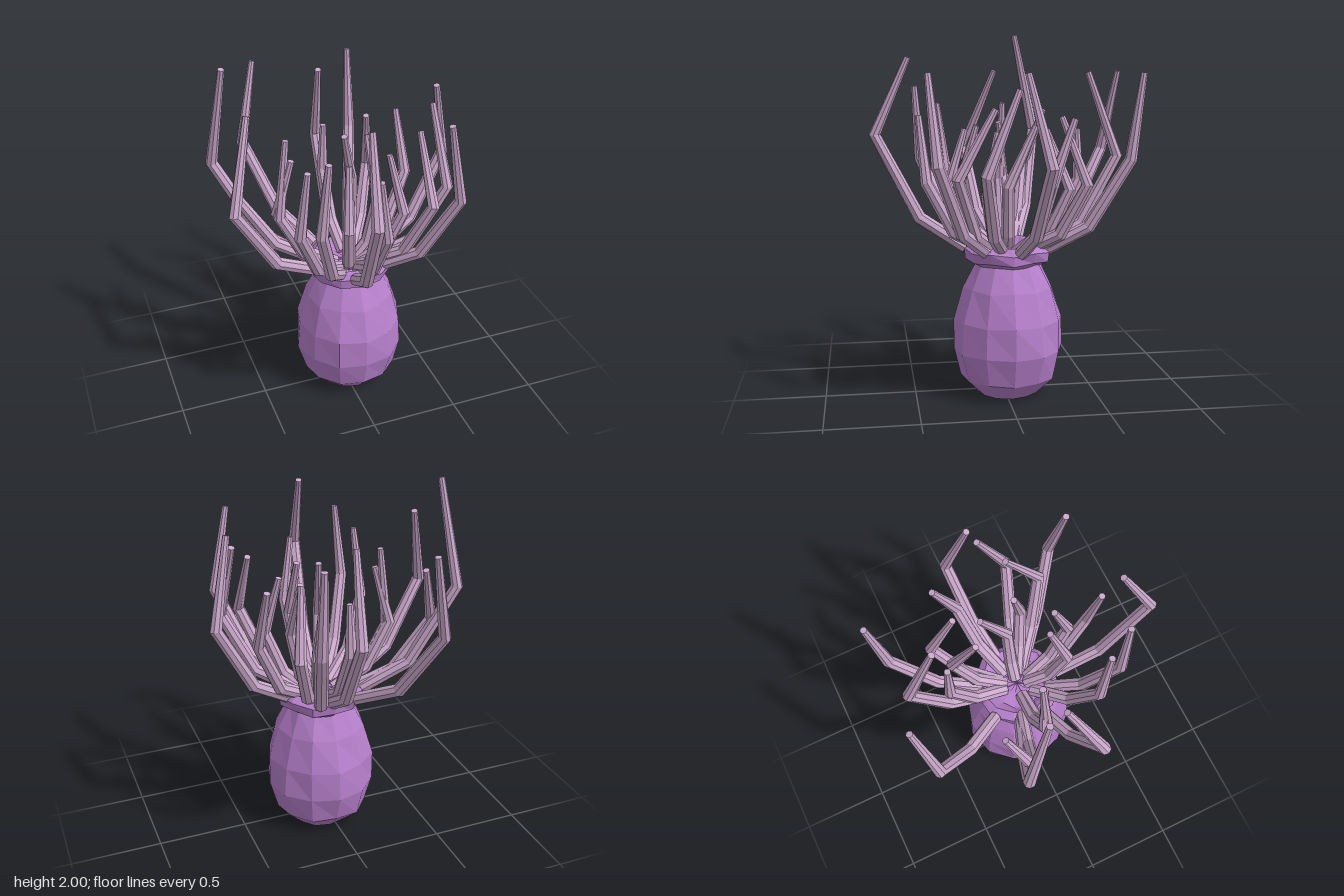
import * as THREE from 'three';

const bodyMat = new THREE.MeshStandardMaterial({ color: 0xb780cc, flatShading: true });
bodyMat.name = 'violet body';
const armMat = new THREE.MeshStandardMaterial({ color: 0xcaa8cb, flatShading: true });
armMat.name = 'pale lilac tentacle';

const CX = 0.035, CZ = -0.02; // axis of the stalk

// Tentacles: [elbow x, y, z, tip x, y, z]
const arms = [
  // back
  [-0.39, 1.33, -0.65, -0.29, 1.79, -0.72],
  [0.27, 1.33, -0.65, 0.28, 1.79, -0.71],
  [0.05, 1.33, -0.63, 0.02, 1.79, -0.47],
  [0.02, 1.2, -0.42, 0.025, 1.48, -0.41],
  [0.29, 1.2, -0.41, 0.235, 1.56, -0.28],
  [0.17, 1.16, -0.34, 0.085, 1.48, -0.225],
  // left
  [0.44, 1.22, -0.19, 0.425, 1.56, -0.31],
  [0.65, 1.33, -0.15, 0.545, 1.79, -0.045],
  [0.195, 1.18, -0.0, 0.19, 1.51, -0.15],
  [0.54, 1.28, 0.16, 0.51, 1.71, -0.01],
  [0.3, 1.15, 0.13, 0.235, 1.48, 0.065],
  // front
  [0.4, 1.25, 0.29, 0.395, 1.61, 0.095],
  [0.5, 1.33, 0.4, 0.405, 1.79, 0.44],
  [0.09, 1.16, 0.32, 0.075, 1.49, 0.22],
  [0.08, 1.2, 0.43, 0.025, 1.56, 0.465],
  [-0.28, 1.3, 0.44, -0.25, 1.71, 0.47],
  [-0.345, 1.22, 0.29, -0.315, 1.61, 0.34],
  [-0.06, 1.16, 0.24, -0.025, 1.5, 0.145],
  [-0.085, 1.45, 0.7, -0.05, 1.87, 0.515],
  // right
  [-0.645, 1.33, 0.15, -0.515, 1.79, -0.02],
  [-0.55, 1.23, -0.2, -0.45, 1.56, -0.31],
  [-0.655, 1.43, -0.28, -0.595, 2.0, -0.155],
  [-0.37, 1.18, -0.05, -0.29, 1.5, -0.015],
  [-0.36, 1.16, -0.03, -0.31, 1.61, -0.04],
];

function facet(geo) {
  const g = geo.toNonIndexed();
  g.computeVertexNormals();
  return g;
}

// Lathe with a gentle hand-cut irregularity
function roughLathe(profile, sides, rough) {
  const geo = new THREE.LatheGeometry(profile.map(([r, y]) => new THREE.Vector2(r, y)), sides);
  const p = geo.attributes.position;
  for (let i = 0; i < p.count; i++) {
    const row = i % profile.length;
    const col = Math.floor(i / profile.length) % sides;
    const k = 1 + rough * Math.sin(col * 2.4 + row * 1.7);
    const y = p.getY(i);
    const lift = y > 0.05 ? 0.4 * rough * Math.sin(col * 3.1 + row) : 0;
    p.setXYZ(i, p.getX(i) * k, y + lift * 0.6, p.getZ(i) * k);
  }
  return facet(geo);
}

// Tapered, bent tentacle: a cylinder whose four rings follow the joints
function tentacleGeometry(pts, radii) {
  const sides = 8;
  const geo = new THREE.CylinderGeometry(1, 1, 1, sides, 3);
  const p = geo.attributes.position;
  const dirs = pts.map((_, i) => {
    const a = pts[Math.max(i - 1, 0)], b = pts[i], c = pts[Math.min(i + 1, 3)];
    return b.clone().sub(a).normalize().add(c.clone().sub(b).normalize()).normalize();
  });
  const out = pts[2].clone().sub(pts[0]).setY(0).normalize();
  const flat = new THREE.Vector3(out.z, 0, -out.x);
  for (let i = 0; i < p.count; i++) {
    const ring = Math.round((p.getY(i) + 0.5) * 3);
    const t = dirs[ring];
    const u = flat.clone().addScaledVector(t, -flat.dot(t)).normalize();
    const w = u.clone().cross(t);
    const v = pts[ring].clone()
      .addScaledVector(u, p.getX(i) * radii[ring])
      .addScaledVector(w, p.getZ(i) * radii[ring]);
    p.setXYZ(i, v.x, v.y, v.z);
  }
  return facet(geo);
}

export function createModel() {
  const model = new THREE.Group();
  model.name = 'seaAnemone';

  const add = (geo, mat, name, parent = model) => {
    const mesh = new THREE.Mesh(geo, mat);
    mesh.name = name;
    parent.add(mesh);
    return mesh;
  };

  // Barrel-shaped stalk
  const stalk = add(roughLathe([[0, 0], [0.168, 0], [0.268, 0.1], [0.31, 0.26],
    [0.302, 0.43], [0.25, 0.61], [0.18, 0.75]], 12, 0.02), bodyMat, 'stalk');
  stalk.position.set(CX, 0, CZ);

  // Flared collar with a shallow mouth disc
  const collar = add(roughLathe([[0.17, 0.73], [0.232, 0.765], [0.243, 0.82],
    [0.2, 0.855], [0.15, 0.815], [0, 0.81]], 12, 0.03), bodyMat, 'collar');
  collar.position.set(CX, 0, CZ);

  // Tentacles
  const crown = new THREE.Group();
  crown.name = 'tentacles';
  model.add(crown);
  for (const [ex, ey, ez, tx, ty, tz] of arms) {
    const reach = Math.hypot(ex - CX, ez - CZ);
    const along = (f, y) => new THREE.Vector3(CX + (ex - CX) * f, y, CZ + (ez - CZ) * f);
    const start = reach > 0.55 ? 0.32 : 0.2;
    const pts = [
      along(start, reach > 0.55 ? 0.825 : 0.81),
      along(0.67, 0.82 + (ey - 0.82) * 0.27),
      new THREE.Vector3(ex, ey, ez),
      new THREE.Vector3(tx, ty, tz),
    ];
    add(tentacleGeometry(pts, [0.037, 0.038, 0.034, 0.018]), armMat, 'tentacle', crown);
  }
  return model;
}
